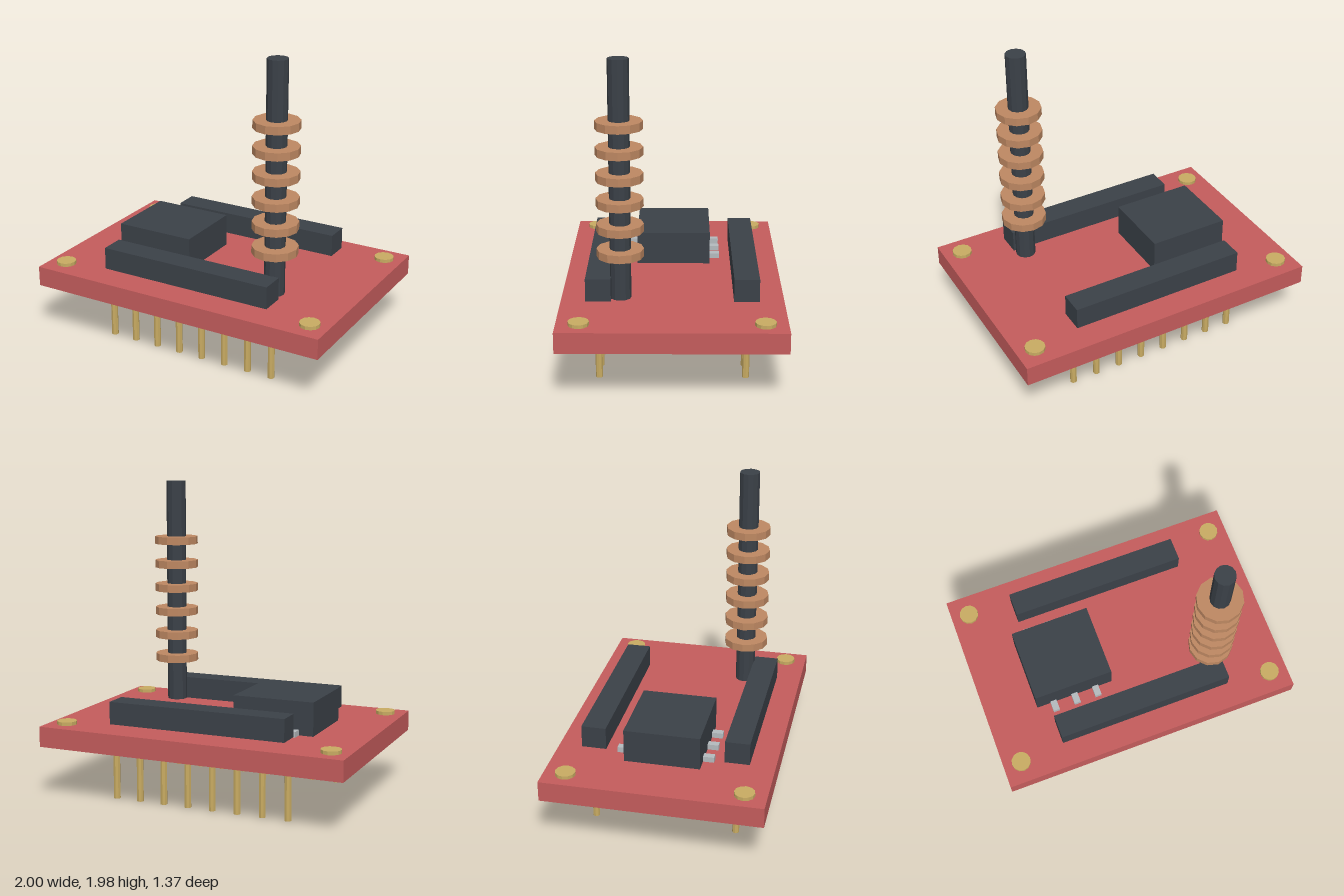
import * as THREE from 'three';

const paint = (name, color) => {
  const m = new THREE.MeshStandardMaterial({ color, flatShading: true });
  m.name = name;
  return m;
};

export function createModel() {
  const red = paint('boardRed', 0xc45c5c);
  const dark = paint('darkPlastic', 0x3b4148);
  const copper = paint('copper', 0xbe8862);
  const gold = paint('gold', 0xc8ab62);
  const silver = paint('silver', 0xb4babe);
  const model = new THREE.Group();
  model.name = 'radioModule';

  const add = (name, geometry, material, x, y, z) => {
    const mesh = new THREE.Mesh(geometry, material);
    mesh.name = name;
    mesh.position.set(x, y, z);
    model.add(mesh);
  };
  // Both helpers take the bottom and top heights of the part
  const box = (name, mat, x, z, w, d, y0, y1) =>
    add(name, new THREE.BoxGeometry(w, y1 - y0, d), mat, x, (y0 + y1) / 2, z);
  const rod = (name, mat, x, z, r, sides, y0, y1) =>
    add(name, new THREE.CylinderGeometry(r, r, y1 - y0, sides), mat, x, (y0 + y1) / 2, z);

  // Circuit board and main chip
  box('board', red, 0, 0, 2, 1.365, 0.345, 0.475);
  box('chip', dark, -0.397, -0.002, 0.525, 0.475, 0.475, 0.687);

  for (const side of [-1, 1]) {
    // Header strip, raised slightly off the board
    box('header', dark, 0, side * 0.45, 1.165, 0.155, 0.497, 0.64);
    // Row of pins below the board
    for (let i = 0; i < 8; i++) {
      rod('pin', gold, -0.58 + i * 0.1657, side * 0.45, 0.022, 8, 0, 0.345);
    }
    // Chip legs
    for (let i = 0; i < 3; i++) {
      box('chipLeg', silver, -0.546 + i * 0.147, side * 0.262, 0.043, 0.085, 0.475, 0.51);
    }
    // Corner mounting pads
    for (const x of [-0.88, 0.88]) rod('mountingPad', gold, x, side * 0.546, 0.063, 12, 0.475, 0.497);
  }

  // Antenna mast with copper rings
  rod('antennaMast', dark, 0.523, 0.314, 0.064, 12, 0.505, 1.977);
  for (let i = 0; i < 6; i++) {
    const y = 0.795 + i * 0.158;
    rod('antennaRing', copper, 0.523, 0.314, 0.143, 12, y - 0.025, y + 0.025);
  }
  return model;
}
